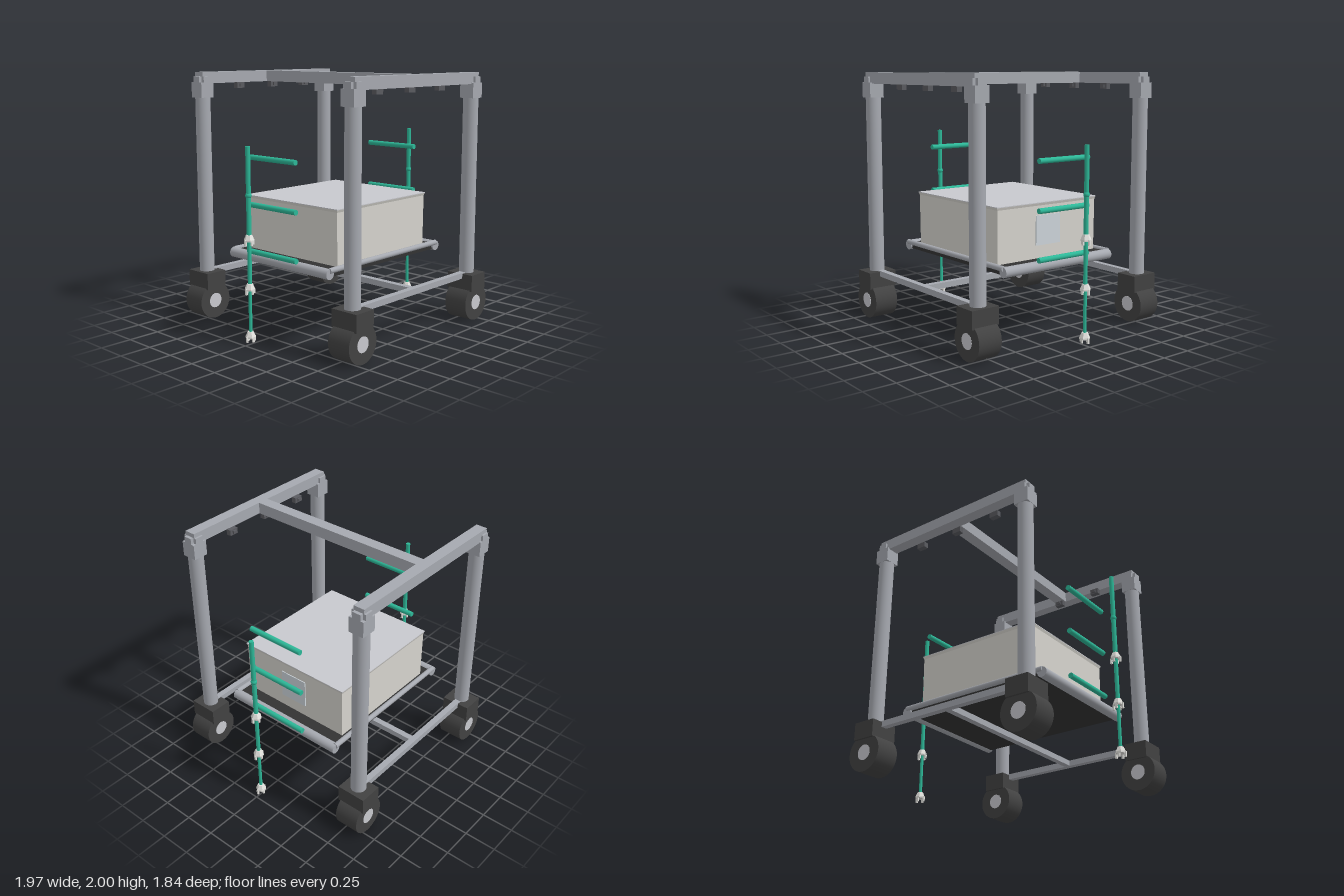
import * as THREE from 'three';

const mat = (color, flatShading = false) => new THREE.MeshStandardMaterial({ color, flatShading });
const steel = mat(0xa6a9b0), dark = mat(0x424242), black = mat(0x333333), teal = mat(0x2db898);
const pale = mat(0xd6d4ce), lidGrey = mat(0xc8c9ce), glass = mat(0xcdd5db), white = mat(0xe4e3df, true);
const lampGrey = mat(0x5a5b60);

function add(parent, name, geometry, material, x = 0, y = 0, z = 0) {
  const mesh = new THREE.Mesh(geometry, material);
  mesh.name = name;
  mesh.position.set(x, y, z);
  parent.add(mesh);
  return mesh;
}

// Box given by its centre and size
const box = (p, name, m, x, y, z, w, h, d) => add(p, name, new THREE.BoxGeometry(w, h, d), m, x, y, z);

// Round bar along one axis
function rod(p, name, m, axis, r, length, x, y, z, sides = 32) {
  const g = new THREE.CylinderGeometry(r, r, length, sides);
  if (axis === 'x') g.rotateZ(Math.PI / 2);
  if (axis === 'z') g.rotateX(Math.PI / 2);
  return add(p, name, g, m, x, y, z);
}

// Column with wheel below and bracket above
function corner(sx, sz) {
  const g = new THREE.Group();
  g.name = 'cornerPost';
  g.position.set(sx * 0.7, 0, sz * 0.8);
  rod(g, 'column', steel, 'y', 0.06, 1.5, 0, 1.13, 0);
  box(g, 'wheelHousing', dark, 0, 0.32, 0, 0.185, 0.135, 0.235);
  rod(g, 'wheel', dark, 'z', 0.147, 0.196, 0, 0.147, 0, 48);
  rod(g, 'wheelHub', lidGrey, 'z', 0.06, 0.2, 0, 0.147, 0);
  box(g, 'bracket', steel, 0, 1.86, 0, 0.122, 0.12, 0.122);
  box(g, 'bracketTab', steel, 0, 1.942, 0, 0.122, 0.05, 0.07);
  box(g, 'bracketCheek', steel, 0, 1.942, 0, 0.07, 0.05, 0.122);
  return g;
}

// White claw-shaped joint: six-sided cap with four fingers
function claw(y) {
  const g = new THREE.Group();
  g.name = 'clawJoint';
  g.position.y = y;
  const profile = [[0, 0.038], [0.024, 0.038], [0.032, 0.02], [0.041, 0], [0.041, -0.012], [0, -0.012]]
    .map(([r, h]) => new THREE.Vector2(r, h)).reverse();
  const cap = add(g, 'clawCap', new THREE.LatheGeometry(profile, 6), white);
  cap.rotation.y = Math.PI / 2;
  for (const s of [-1, 1]) {
    box(g, 'clawFinger', white, s * 0.037, -0.02, 0, 0.014, 0.042, 0.016);
    box(g, 'clawFinger', white, 0, -0.02, s * 0.028, 0.016, 0.042, 0.012);
  }
  return g;
}

// Jointed standing pole
function pole(sx) {
  const g = new THREE.Group();
  g.name = 'jointedPole';
  g.position.x = sx * 0.943;
  rod(g, 'poleTop', teal, 'y', 0.018, 0.69, 0, 1.145, 0, 20);
  rod(g, 'poleMiddle', teal, 'y', 0.016, 0.38, 0, 0.62, 0, 20);
  rod(g, 'poleBottom', teal, 'y', 0.013, 0.38, 0, 0.26, 0, 20);
  add(g, 'poleKnuckle', new THREE.SphereGeometry(0.024, 20, 14), teal, 0, 1.13, 0);
  for (const y of [0.8, 0.43, 0.062]) g.add(claw(y));
  return g;
}

export function createModel() {
  const model = new THREE.Group();
  model.name = 'gantryCart';

  // Posts, upper beams, lower rails and hanging lamps at both ends
  for (const sz of [-1, 1]) {
    for (const sx of [-1, 1]) model.add(corner(sx, sz));
    box(model, 'upperBeam', steel, 0, 1.955, sz * 0.8, 1.47, 0.09, 0.09);
    box(model, 'lowerRail', steel, 0, 0.372, sz * 0.8, 1.4, 0.047, 0.05);
    for (const x of [-0.37, 0, 0.37]) {
      box(model, 'lamp', lampGrey, x, 1.889, sz * 0.736, 0.075, 0.046, 0.042);
      box(model, 'lampLens', lampGrey, x, 1.889, sz * 0.709, 0.03, 0.025, 0.014);
    }
  }
  box(model, 'upperCrossBeam', steel, 0, 1.955, 0, 0.095, 0.09, 1.52);
  box(model, 'lowerCrossRail', steel, 0, 0.372, 0, 0.05, 0.045, 1.56);

  // Conveyor tray
  box(model, 'trayBelt', black, 0, 0.572, 0, 1.24, 0.052, 1.03);
  for (const s of [-1, 1]) {
    rod(model, 'trayRoller', steel, 'z', 0.04, 1.06, s * 0.64, 0.572, 0);
    rod(model, 'trayRail', steel, 'x', 0.021, 1.285, 0, 0.598, s * 0.523);
  }

  // Container: straight walls with a slightly flared rim and a lid
  const outline = (w, d) => [[-w, d], [w, d], [w, -d], [-w, -d]];
  const levels = [[0.516, 0.486, 0.595], [0.52, 0.488, 1.005], [0.528, 0.496, 1.026]];
  const verts = [];
  for (let i = 0; i < levels.length - 1; i++) {
    const [a, b] = [levels[i], levels[i + 1]].map(([w, d, y]) => outline(w, d).map(([x, z]) => [x, y, z]));
    for (let k = 0; k < 4; k++) {
      const n = (k + 1) % 4;
      verts.push(...a[k], ...a[n], ...b[n], ...a[k], ...b[n], ...b[k]);
    }
  }
  const walls = new THREE.BufferGeometry();
  walls.setAttribute('position', new THREE.Float32BufferAttribute(verts, 3));
  walls.computeVertexNormals();
  add(model, 'containerWalls', walls, pale);
  box(model, 'containerLid', lidGrey, 0, 1.027, 0, 1.056, 0.006, 0.992);
  box(model, 'containerWindow', glass, 0.519, 0.815, 0, 0.014, 0.23, 0.24);

  // Side bars and jointed poles
  for (const s of [-1, 1]) {
    for (const y of [0.632, 1.0, 1.368]) rod(model, 'sideBar', teal, 'z', 0.021, 0.49, s * 0.7, y, 0, 24);
    model.add(pole(s));
  }
  return model;
}
